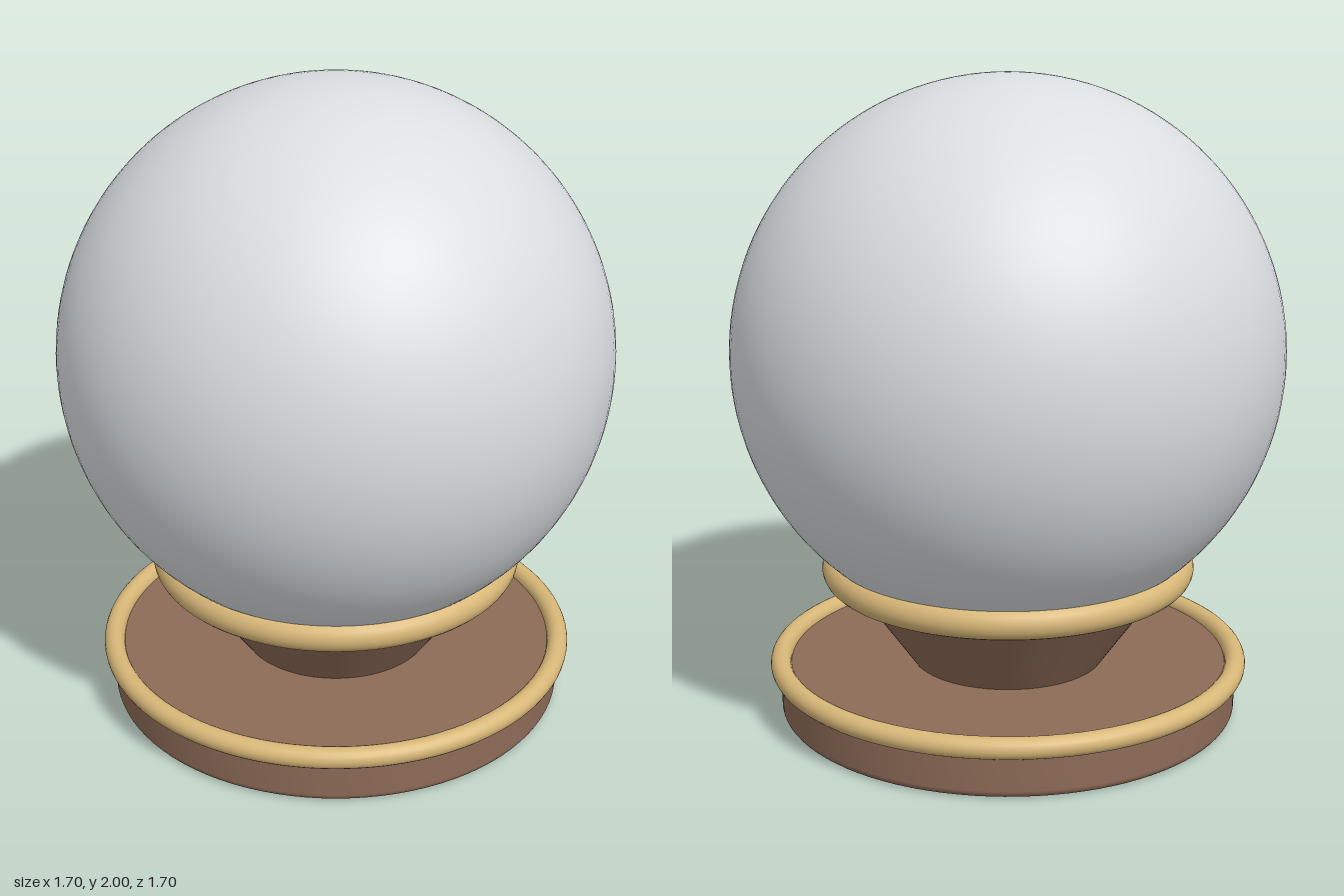
import * as THREE from 'three';

export function createModel() {
  const group = new THREE.Group();
  group.name = 'globeOnStand';

  const glass = new THREE.MeshStandardMaterial({ color: 0xdadee1 });
  glass.name = 'pale grey';
  const wood = new THREE.MeshStandardMaterial({ color: 0x8d6b57 });
  wood.name = 'brown wood';
  const brass = new THREE.MeshStandardMaterial({ color: 0xd8b778 });
  brass.name = 'brass';

  const add = (name, geometry, material, y = 0) => {
    const mesh = new THREE.Mesh(geometry, material);
    mesh.name = name;
    mesh.position.y = y;
    group.add(mesh);
    return mesh;
  };

  // Ring lying flat around the vertical axis
  const ring = (name, radius, tube, y) =>
    add(name, new THREE.TorusGeometry(radius, tube, 20, 96).rotateX(Math.PI / 2), brass, y);

  // Base disc with softly rounded rims
  const R = 0.722, H = 0.16, f = 0.025;
  const profile = [new THREE.Vector2(0, 0), new THREE.Vector2(R - f - 0.005, 0)];
  for (let i = 0; i <= 6; i++) {
    const a = -Math.PI / 2 + (i / 6) * (Math.PI / 2);
    profile.push(new THREE.Vector2(R - f + f * Math.cos(a), f + f * Math.sin(a)));
  }
  for (let i = 0; i <= 6; i++) {
    const a = (i / 6) * (Math.PI / 2);
    profile.push(new THREE.Vector2(R - f + f * Math.cos(a), H - f + f * Math.sin(a)));
  }
  profile.push(new THREE.Vector2(R - f - 0.005, H), new THREE.Vector2(0, H));
  add('base', new THREE.LatheGeometry(profile, 96), wood);
  ring('baseRing', 0.722, 0.033, 0.16);

  // Flared neck that carries the globe
  add('neck', new THREE.CylinderGeometry(0.52, 0.3, 0.31, 96), wood, 0.31);
  ring('collarRing', 0.535, 0.051, 0.467);

  // Globe
  add('globe', new THREE.SphereGeometry(0.85, 96, 64), glass, 1.15);

  return group;
}
